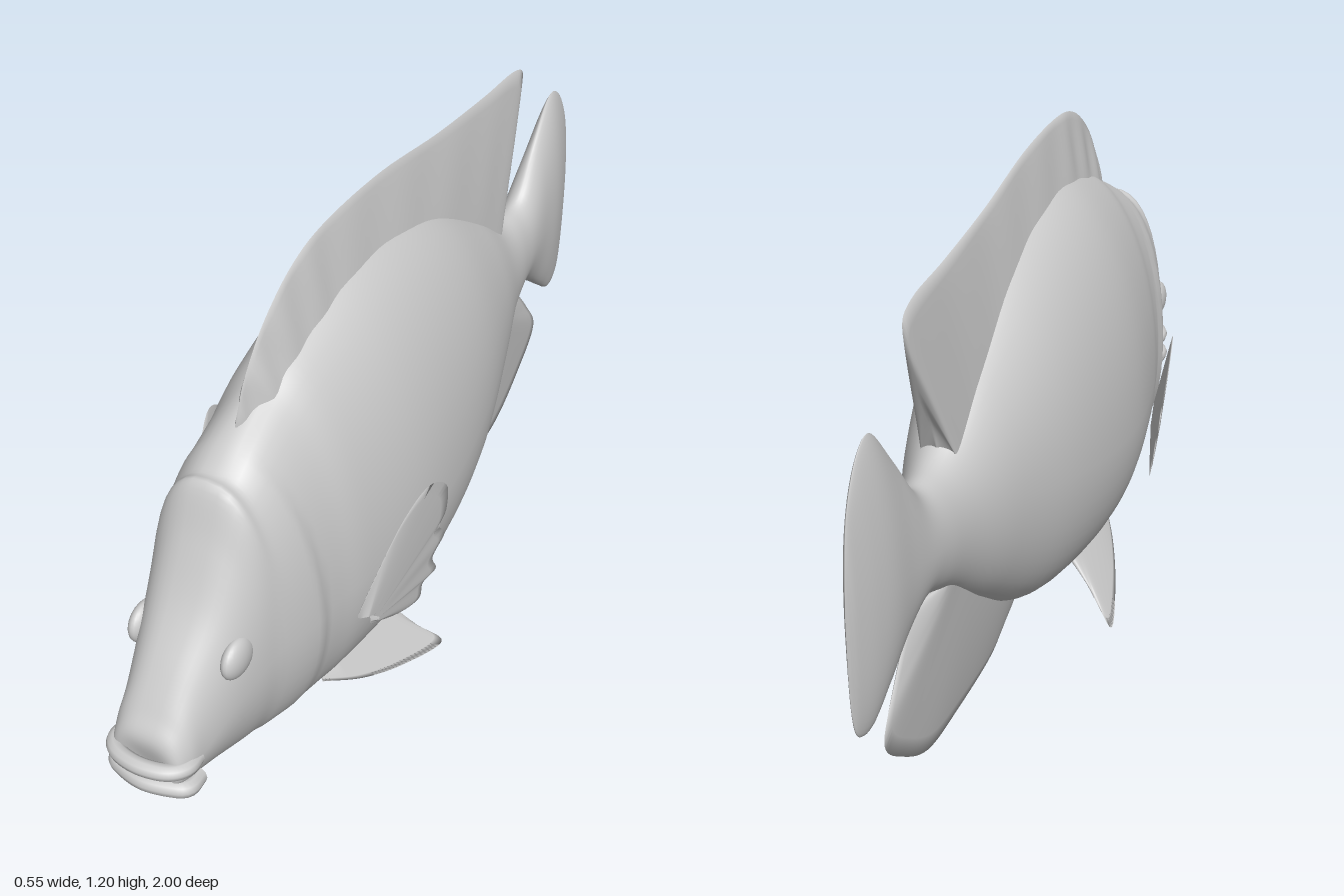
import * as THREE from 'three';

const grey = new THREE.MeshStandardMaterial({ color: 0xcccccc });
const finGrey = new THREE.MeshStandardMaterial({ color: 0xcccccc, side: THREE.DoubleSide });

// Smooth grid surface from rows of points; closed wraps each row into a ring.
function gridMesh(name, rows, closed, material) {
  const n = rows[0].length, index = [];
  for (let i = 0; i < rows.length - 1; i++) {
    for (let j = 0; j < (closed ? n : n - 1); j++) {
      const a = i * n + j, b = i * n + (j + 1) % n;
      index.push(a, a + n, b, b, a + n, b + n);
    }
  }
  const geo = new THREE.BufferGeometry();
  geo.setAttribute('position', new THREE.Float32BufferAttribute(rows.flat(2), 3));
  geo.setIndex(index);
  geo.computeVertexNormals();
  const mesh = new THREE.Mesh(geo, material);
  mesh.name = name;
  return mesh;
}

const spline = (pts) => new THREE.CatmullRomCurve3(pts.map((p) => new THREE.Vector3(...p)), false, 'catmullrom', 0.5);

// Body and tail fin: z, belly y, back y, half width, y of widest point, roundness of back
const SECTIONS = [
  [0.95, 0.34, 0.36, 0.01, 0.35, 0.8],
  [0.96, 0.32, 0.43, 0.07, 0.36, 0.7],
  [0.93, 0.30, 0.48, 0.09, 0.37, 0.7],
  [0.88, 0.275, 0.55, 0.098, 0.39, 0.7],
  [0.80, 0.24, 0.655, 0.118, 0.44, 0.7],
  [0.74, 0.215, 0.77, 0.132, 0.47, 0.75],
  [0.695, 0.20, 0.87, 0.142, 0.49, 0.75],
  [0.66, 0.185, 0.88, 0.152, 0.50, 0.85],
  [0.60, 0.17, 0.92, 0.165, 0.50, 0.95],
  [0.50, 0.15, 0.97, 0.18, 0.50, 1.1],
  [0.40, 0.14, 1.02, 0.20, 0.50, 1.15],
  [0.20, 0.14, 1.07, 0.222, 0.50, 1.2],
  [0.00, 0.16, 1.06, 0.215, 0.52, 1.2],
  [-0.20, 0.21, 1.00, 0.185, 0.56, 1.2],
  [-0.40, 0.34, 0.88, 0.13, 0.60, 1.15],
  [-0.54, 0.445, 0.775, 0.085, 0.61, 1.0],
  [-0.63, 0.495, 0.752, 0.066, 0.62, 1.0],
  [-0.70, 0.515, 0.77, 0.057, 0.63, 1.1],
  [-0.78, 0.475, 0.875, 0.05, 0.65, 1.3],
  [-0.86, 0.415, 0.965, 0.045, 0.66, 1.5],
  [-0.92, 0.375, 0.95, 0.032, 0.66, 1.5],
  [-0.97, 0.39, 0.87, 0.015, 0.65, 1.4],
  [-0.99, 0.44, 0.77, 0.006, 0.62, 1.4],
  [-1.00, 0.53, 0.66, 0.0, 0.60, 1.4],
];

function body() {
  const outline = spline(SECTIONS.map((s) => s.slice(0, 3)));
  const shape = spline(SECTIONS.map((s) => s.slice(3)));
  const rows = [], steps = 140, sides = 48;
  for (let i = 0; i <= steps; i++) {
    const o = outline.getPoint(i / steps), s = shape.getPoint(i / steps);
    const row = [];
    for (let j = 0; j < sides; j++) {
      const a = (j / sides) * Math.PI * 2, c = Math.cos(a), up = Math.sin(a);
      const power = up > 0 ? s.z : 0.95;
      let x = Math.sign(c) * Math.max(0, s.x) * Math.pow(Math.abs(c), power);
      const y = s.y + up * (up > 0 ? o.z - s.y : s.y - o.y);
      // gill cover: a gentle swelling ending in a crease
      const d = o.x - (0.55 + 0.25 * (y - 0.45) ** 2);
      if (d > 0 && d < 0.12) x += Math.sign(c) * 0.01 * (1 - d / 0.12) * Math.min(1, d / 0.015) * c * c;
      row.push([x, y, o.x]);
    }
    rows.push(row);
  }
  return gridMesh('body', rows, true, grey);
}

// Fin: each ray is [root z, root y, tip z, tip y]; thick at the root, thin at the rim.
function fin(name, rays, thickness, xAt = () => 0, ripple = 0) {
  const root = spline(rays.map((r) => [0, r[1], r[0]]));
  const tip = spline(rays.map((r) => [0, r[3], r[2]]));
  const rows = [], steps = 72, half = 10;
  for (let i = 0; i <= steps; i++) {
    const v = i / steps, a = root.getPoint(v), b = tip.getPoint(v);
    const thick = thickness * Math.min(1, 0.1 + 3 * Math.sin(Math.PI * v));
    const row = [];
    for (let m = -half; m <= half; m++) {
      const t = 1 - Math.abs(m) / half, p = a.clone().lerp(b, t);
      const wave = ripple * Math.sin(v * 75) * t * (1 - t) * 4 * Math.max(0, 1 - v * 1.4);
      row.push([xAt(p.y, p.z) + Math.sign(m) * thick * Math.pow(1 - t, 0.9) + wave, p.y, p.z]);
    }
    rows.push(row);
  }
  return gridMesh(name, rows, false, finGrey);
}

const DORSAL = [
  [0.57, 0.88, 0.58, 0.945], [0.50, 0.93, 0.535, 1.03], [0.42, 0.97, 0.46, 1.11],
  [0.32, 1.0, 0.35, 1.175], [0.2, 1.02, 0.22, 1.2], [0, 1.0, 0, 1.195], [-0.2, 0.95, -0.25, 1.16],
  [-0.38, 0.85, -0.48, 1.14], [-0.48, 0.77, -0.65, 1.13], [-0.51, 0.74, -0.695, 1.085],
  [-0.52, 0.73, -0.63, 0.94], [-0.52, 0.73, -0.57, 0.84], [-0.52, 0.73, -0.54, 0.76],
];
const ANAL = [
  [-0.03, 0.2, -0.06, 0.16], [-0.13, 0.24, -0.15, 0.11], [-0.22, 0.28, -0.25, 0.082],
  [-0.33, 0.35, -0.45, 0.088], [-0.43, 0.42, -0.63, 0.11], [-0.5, 0.47, -0.77, 0.195],
  [-0.54, 0.49, -0.855, 0.285], [-0.56, 0.5, -0.80, 0.38], [-0.57, 0.5, -0.71, 0.48],
  [-0.57, 0.5, -0.65, 0.495], [-0.56, 0.49, -0.60, 0.475],
];
const PELVIC = [
  [0.38, 0.17, 0.42, 0.135], [0.34, 0.17, 0.32, 0.08], [0.28, 0.17, 0.2, 0.035],
  [0.22, 0.18, 0.065, 0.003], [0.17, 0.18, 0.095, 0.06], [0.14, 0.18, 0.12, 0.12], [0.13, 0.18, 0.125, 0.165],
];
const PECTORAL = [
  [0.46, 0.42, 0.47, 0.43], [0.45, 0.42, 0.42, 0.53], [0.44, 0.42, 0.36, 0.63], [0.43, 0.41, 0.29, 0.68],
  [0.43, 0.41, 0.225, 0.64], [0.42, 0.40, 0.21, 0.56], [0.42, 0.40, 0.225, 0.52], [0.42, 0.40, 0.2, 0.48],
  [0.41, 0.39, 0.23, 0.43], [0.41, 0.39, 0.21, 0.38], [0.41, 0.39, 0.25, 0.365], [0.41, 0.38, 0.255, 0.32],
  [0.41, 0.38, 0.32, 0.325], [0.42, 0.38, 0.42, 0.37],
];

// Lip: a bent tube around the front of the jaw
function lip(name, y, front, radius) {
  const path = spline([
    [-0.08, y - 0.005, 0.90], [-0.082, y, 0.94], [-0.055, y + 0.003, front - 0.012], [0, y + 0.005, front],
    [0.055, y + 0.003, front - 0.012], [0.082, y, 0.94], [0.08, y - 0.005, 0.90],
  ]);
  const mesh = new THREE.Mesh(new THREE.TubeGeometry(path, 40, radius, 10), grey);
  mesh.name = name;
  return mesh;
}

export function createModel() {
  const fish = new THREE.Group();
  fish.name = 'fish';
  fish.add(
    body(),
    fin('dorsalFin', DORSAL, 0.042, undefined, 0.004),
    fin('analFin', ANAL, 0.04),
    lip('upperLip', 0.378, 0.982, 0.018),
    lip('lowerLip', 0.323, 0.97, 0.02),
  );

  // paired fins and eyes
  for (const [side, s] of [['left', 1], ['right', -1]]) {
    fish.add(fin(side + 'PelvicFin', PELVIC, 0.018, (y) => s * (0.075 + (0.14 - y) * 0.9)));
    fish.add(fin(side + 'PectoralFin', PECTORAL, 0.012,
      (y, z) => s * (0.2 + (0.47 - z) * 0.22 + 0.12 * (y - 0.45))));
    const eye = new THREE.Mesh(new THREE.SphereGeometry(0.045, 24, 16), grey);
    eye.name = side + 'Eye';
    eye.scale.set(0.5, 1, 1.1);
    eye.position.set(s * 0.107, 0.55, 0.78);
    fish.add(eye);
  }
  return fish;
}
